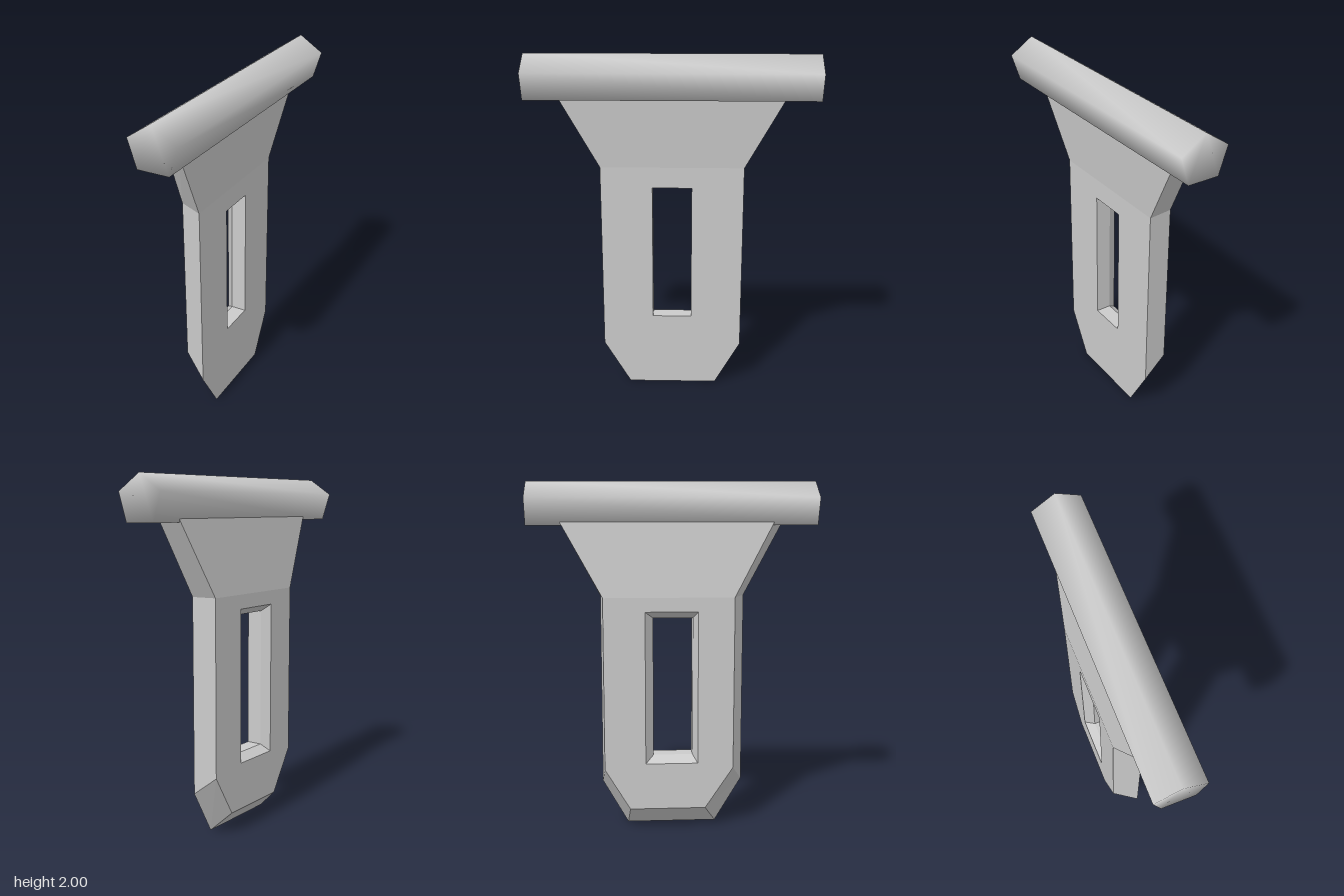
import * as THREE from 'three';

const grey = (flatShading) => new THREE.MeshStandardMaterial({ color: 0xcccccc, flatShading });

// Loop of [z, y] pairs, counter-clockwise seen from +x, placed at one x or at an x per point
const loop = (pairs, x) => pairs.map(([z, y], i) => new THREE.Vector3(Array.isArray(x) ? x[i] : x, y, z));
const rect = (z0, z1, y0, y1, x) => loop([[z1, y0], [z0, y0], [z0, y1], [z1, y1]], x);

function createBlade() {
  const pos = [];
  const tri = (a, b, c) => [a, b, c].forEach((p) => pos.push(p.x, p.y, p.z));

  // Wall between two matching loops
  const strip = (a, b) => a.forEach((p, i) => {
    const j = (i + 1) % a.length;
    tri(p, b[i], b[j]);
    tri(p, b[j], a[j]);
  });

  // Filled face, with an optional hole
  const face = (outline, hole, flip) => {
    const flat = (pts) => pts.map((p) => new THREE.Vector2(-p.z, p.y));
    const all = [...outline, ...hole];
    const holes = hole.length ? [flat(hole)] : [];
    for (const [a, b, c] of THREE.ShapeUtils.triangulateShape(flat(outline), holes)) {
      if (flip) tri(all[a], all[c], all[b]);
      else tri(all[a], all[b], all[c]);
    }
  };

  // Outlines: bottom, corner cut, bend, top and back down; the inner face is narrower
  const front = loop([[0.255, 0], [-0.262, 0], [-0.41, 0.26], [-0.41, 1.36],
    [-0.65, 1.8], [0.65, 1.8], [0.41, 1.36], [0.41, 0.26]],
  [0, 0, 0, 0, 0.038, 0.038, 0, 0]);
  const back = loop([[0.185, 0.13], [-0.25, 0.13], [-0.395, 0.37], [-0.395, 1.36],
    [-0.64, 1.8], [0.58, 1.8], [0.345, 1.36], [0.345, 0.37]],
  [-0.142, -0.142, -0.142, -0.142, -0.09, -0.09, -0.142, -0.142]);

  // Slot: straight throat, flared towards -x
  const slotFront = rect(-0.113, 0.113, 0.44, 1.24, 0);
  const slotThroat = rect(-0.113, 0.113, 0.44, 1.24, -0.09);
  const slotBack = rect(-0.16, 0.14, 0.4, 1.28, -0.142);

  const pick = (pts, ids) => ids.map((i) => pts[i]);
  for (const [pts, slot, flip] of [[front, slotFront, false], [back, slotBack, true]]) {
    face(pick(pts, [0, 1, 2, 3, 6, 7]), slot, flip);
    face(pick(pts, [3, 4, 5, 6]), [], flip);
  }
  strip(front, back);
  strip(slotThroat, slotFront);
  strip(slotBack, slotThroat);

  const geo = new THREE.BufferGeometry();
  geo.setAttribute('position', new THREE.Float32BufferAttribute(pos, 3));
  geo.computeVertexNormals();
  const mesh = new THREE.Mesh(geo, grey(true));
  mesh.name = 'slottedBlade';
  return mesh;
}

// Five-sided bar whose sides and ends share smooth normals
function createBar() {
  const section = [[0, 2], [-0.135, 1.91], [-0.087, 1.757], [0.09, 1.757], [0.138, 1.91]];
  const n = section.length;
  const pos = [], index = [];
  for (const z of [0.815, -0.815]) section.forEach(([x, y]) => pos.push(x, y, z));
  for (let i = 0; i < n; i++) {
    const j = (i + 1) % n;
    index.push(i, i + n, j, j, i + n, j + n);
  }
  for (let i = 1; i < n - 1; i++) index.push(0, i, i + 1, n, n + i + 1, n + i);
  const geo = new THREE.BufferGeometry();
  geo.setAttribute('position', new THREE.Float32BufferAttribute(pos, 3));
  geo.setIndex(index);
  geo.computeVertexNormals();
  const mesh = new THREE.Mesh(geo, grey(false));
  mesh.name = 'topBar';
  return mesh;
}

export function createModel() {
  const group = new THREE.Group();
  group.name = 'slottedBladeWithBar';
  group.add(createBlade(), createBar());
  return group;
}
